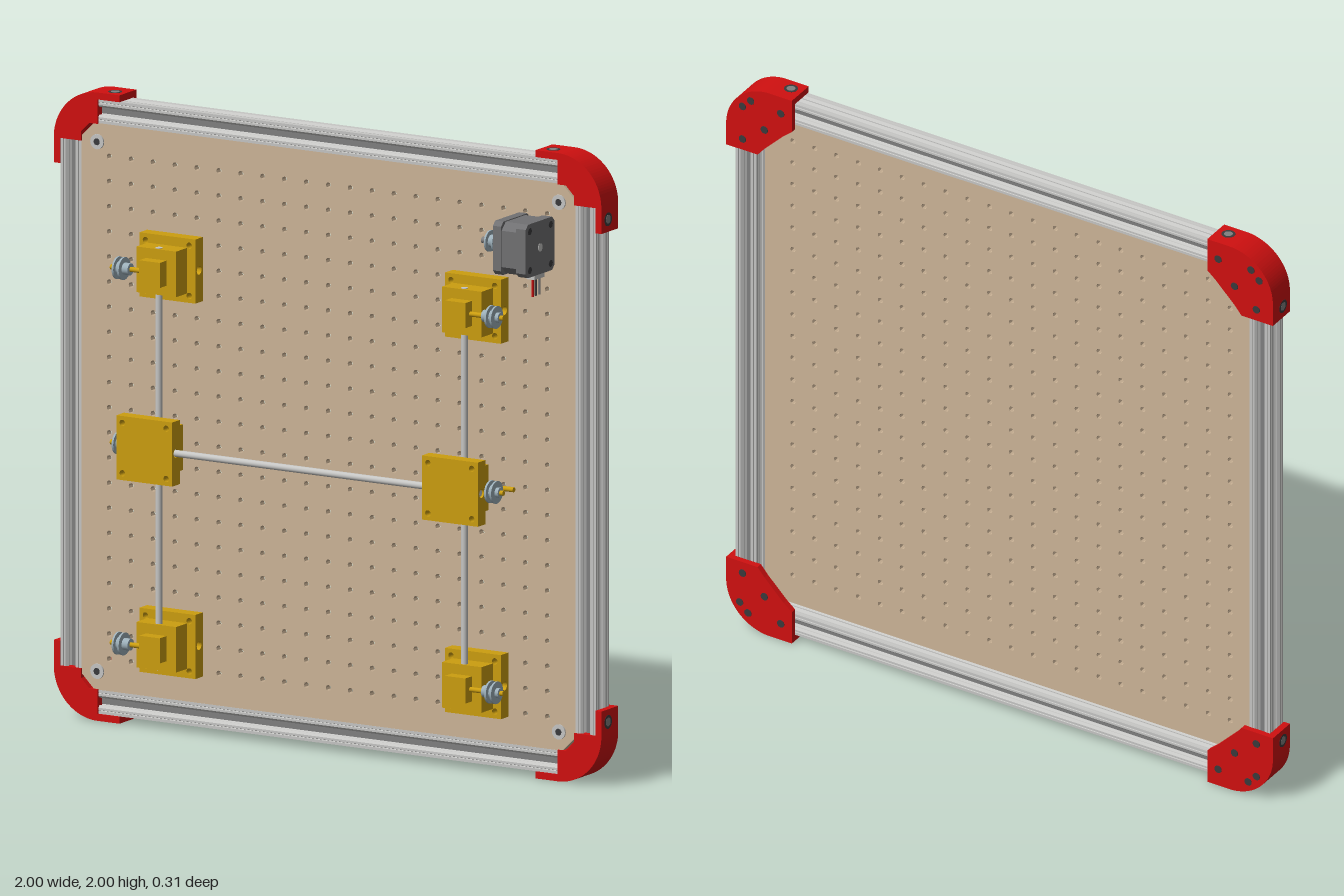
import * as THREE from 'three';

const mat = (name, color) => {
  const m = new THREE.MeshStandardMaterial({ color });
  m.name = name;
  return m;
};
const RED = mat('red plastic', 0xd01010);
const ALU = mat('aluminium', 0xc6c6c4);
const SLOT = mat('slot grey', 0x808080);
const WOOD = mat('tan board', 0xcdb598);
const GOLD = mat('gold plastic', 0xcc9e10);
const STEEL = mat('blue steel', 0x9db0ba);
const MOTOR = mat('motor grey', 0x717173);
const DARK = mat('dark grey', 0x3a3a3c);

function add(parent, name, geo, material, x = 0, y = 0, z = 0) {
  const m = new THREE.Mesh(geo, material);
  m.name = name;
  m.position.set(x, y, z);
  parent.add(m);
  return m;
}
const box = (w, h, d) => new THREE.BoxGeometry(w, h, d);
const extrude = (shape, depth, curveSegments = 10) =>
  new THREE.ExtrudeGeometry(shape, { depth, bevelEnabled: false, curveSegments });
const polygon = (pts) => new THREE.Shape(pts.map(([x, y]) => new THREE.Vector2(x, y)));
const rect = (w, h) => polygon([[-w / 2, -h / 2], [w / 2, -h / 2], [w / 2, h / 2], [-w / 2, h / 2]]);
function punch(shape, x, y, r) {
  const p = new THREE.Path();
  p.absarc(x, y, r, 0, Math.PI * 2, true);
  shape.holes.push(p);
}
// Cylinder along x, between x0 and x1
function rodX(parent, name, r, x0, x1, y, z, material) {
  const g = new THREE.CylinderGeometry(r, r, Math.abs(x1 - x0), 20).rotateZ(Math.PI / 2);
  return add(parent, name, g, material, (x0 + x1) / 2, y, z);
}

// Slotted rail profile: one side, turned four times
function railProfile() {
  const half = [[0.038, 0.038], [0.029, 0.038], [0.0275, 0.035], [0.026, 0.038], [0.019, 0.038],
    [0.012, 0.031], [0.012, 0.028], [0.022, 0.028], [0.018, 0.022], [0.01, 0.014]];
  const side = [...half, ...half.slice(1).reverse().map(([x, y]) => [-x, y])];
  const pts = [];
  for (let k = 0; k < 4; k++) {
    const c = Math.round(Math.cos(k * Math.PI / 2)), s = Math.round(Math.sin(k * Math.PI / 2));
    side.forEach(([x, y]) => pts.push([x * c - y * s, x * s + y * c]));
  }
  return polygon(pts);
}

// One rail and one corner bracket, for the top and its right end
function frameSide() {
  const g = new THREE.Group();
  g.name = 'frameSide';
  const L = 1.69, zc = -0.0925;
  add(g, 'rail', extrude(railProfile(), L).translate(0, 0, -L / 2).rotateY(Math.PI / 2), ALU, 0, 0.94, zc);
  add(g, 'railCore', box(L - 0.01, 0.021, 0.031), SLOT, 0, 0.94, zc);
  add(g, 'railCore', box(L - 0.01, 0.031, 0.021), SLOT, 0, 0.94, zc);

  // Solid corner block
  const block = new THREE.Shape();
  block.moveTo(0.84, 1);
  block.absarc(0.84, 0.84, 0.16, Math.PI / 2, 0, true);
  [[0.9, 0.84], [0.9, 0.87], [0.87, 0.9], [0.84, 0.9]].forEach(([x, y]) => block.lineTo(x, y));
  add(g, 'cornerBlock', extrude(block, 0.08, 14), RED, 0, 0, -0.13);
  // Back plate
  const plate = new THREE.Shape();
  plate.moveTo(0.76, 1);
  plate.lineTo(0.84, 1);
  plate.absarc(0.84, 0.84, 0.16, Math.PI / 2, 0, true);
  [[1, 0.76], [0.885, 0.76], [0.86, 0.79], [0.79, 0.86], [0.76, 0.885]].forEach(([x, y]) => plate.lineTo(x, y));
  add(g, 'cornerBackPlate', extrude(plate, 0.02, 14), RED, 0, 0, -0.15);
  // Outer lips wrapping the rails
  add(g, 'cornerLip', box(0.08, 0.022, 0.08), RED, 0.8, 0.989, -0.09);
  add(g, 'cornerLip', box(0.022, 0.08, 0.08), RED, 0.989, 0.8, -0.09);

  // Bolts on the back and outer faces
  for (const [x, y] of [[0.94, 0.8], [0.8, 0.94], [0.94, 0.92], [0.91, 0.95], [0.86, 0.86]]) {
    add(g, 'backBolt', new THREE.CylinderGeometry(0.013, 0.013, 0.004, 14).rotateX(Math.PI / 2), DARK, x, y, -0.15);
  }
  rodX(g, 'sideBoltRing', 0.022, 0.998, 1.0005, 0.8, -0.09, DARK);
  rodX(g, 'sideBolt', 0.014, 0.998, 1.001, 0.8, -0.09, SLOT);
  add(g, 'topBoltRing', new THREE.CylinderGeometry(0.022, 0.022, 0.0025, 20), DARK, 0.8, 0.9993, -0.09);
  add(g, 'topBolt', new THREE.CylinderGeometry(0.014, 0.014, 0.003, 20), SLOT, 0.8, 0.9995, -0.09);
  // Washer and screw holding the board
  add(g, 'boardWasher', new THREE.CylinderGeometry(0.024, 0.024, 0.006, 20).rotateX(Math.PI / 2), ALU, 0.843, 0.843, -0.053);
  add(g, 'boardScrew', new THREE.CylinderGeometry(0.011, 0.011, 0.008, 14).rotateX(Math.PI / 2), DARK, 0.843, 0.843, -0.053);
  return g;
}

// Perforated board with chamfered corners
function board() {
  const a = 0.902, c = 0.855;
  const s = polygon([[-c, -a], [c, -a], [a, -c], [a, c], [c, a], [-c, a], [-a, c], [-a, -c]]);
  for (let i = -10; i <= 10; i++) for (let j = -10; j <= 10; j++) punch(s, i * 0.08, j * 0.08, 0.0095);
  return extrude(s, 0.024, 4);
}

// Toothed pulley on a shaft along x; s is the outward direction
function pulley(parent, x, y, z, s) {
  const g = new THREE.Group();
  g.name = 'pulley';
  g.position.set(x, y, z);
  parent.add(g);
  rodX(g, 'shaft', 0.008, -0.05 * s, 0.072 * s, 0, 0, GOLD);
  rodX(g, 'hub', 0.019, 0, 0.022 * s, 0, 0, STEEL);
  rodX(g, 'flange', 0.036, 0.022 * s, 0.029 * s, 0, 0, STEEL);
  rodX(g, 'teeth', 0.022, 0.029 * s, 0.042 * s, 0, 0, STEEL);
  rodX(g, 'flange', 0.036, 0.042 * s, 0.048 * s, 0, 0, STEEL);
  rodX(g, 'tip', 0.016, 0.048 * s, 0.06 * s, 0, 0, STEEL);
}

// Stepped bearing block; flipped it becomes a carriage
function bearingBlock(name, x, y, flip) {
  const g = new THREE.Group();
  g.name = name;
  g.position.set(x, y, 0.04);
  if (flip) g.rotation.y = Math.PI;
  // Base: middle strip with a cross hole, outer strips with screw holes
  const mid = rect(0.045, 0.05);
  punch(mid, 0, 0, 0.014);
  add(g, 'baseMiddle', extrude(mid, 0.204).translate(0, 0, -0.102).rotateY(Math.PI / 2), GOLD, 0, 0, -0.0685);
  for (const s of [-1, 1]) {
    const strip = rect(0.204, 0.077);
    for (const t of [-1, 1]) punch(strip, t * 0.08, s * 0.0165, 0.01);
    add(g, 'baseStrip', extrude(strip, 0.045), GOLD, 0, s * 0.0635, -0.091);
  }
  add(g, 'middleStep', box(0.145, 0.145, 0.066), GOLD, 0, 0, -0.013);
  add(g, 'smallStep', box(0.075, 0.08, 0.04), GOLD, 0, 0, 0.04);
  return g;
}

function motor() {
  const g = new THREE.Group();
  g.name = 'motor';
  g.position.set(0.79, 1.723, 0.07);
  const section = (h, c) => polygon([[-h + c, -h], [h - c, -h], [h, -h + c], [h, h - c],
    [h - c, h], [-h + c, h], [-h, h - c], [-h, -h + c]]);
  const part = (name, h, c, x0, len) =>
    add(g, name, extrude(section(h, c), len).rotateY(Math.PI / 2), MOTOR, x0, 0, 0);
  part('motorFrontCap', 0.085, 0.014, -0.06, 0.03);
  part('motorBody', 0.082, 0.024, -0.03, 0.055);
  part('motorRearCap', 0.085, 0.014, 0.025, 0.035);
  for (const s of [-1, 1]) for (const t of [-1, 1]) {
    rodX(g, 'motorScrew', 0.011, 0.059, 0.0615, s * 0.062, t * 0.062, DARK);
    rodX(g, 'motorScrew', 0.011, -0.0615, -0.059, s * 0.062, t * 0.062, DARK);
  }
  rodX(g, 'rearBearing', 0.013, 0.059, 0.0615, 0, 0, ALU);
  rodX(g, 'frontBoss', 0.045, -0.066, -0.06, 0, 0, MOTOR);
  // Drive shaft and pulley
  rodX(g, 'motorShaft', 0.01, -0.15, -0.06, 0, 0, SLOT);
  rodX(g, 'pulleyHub', 0.03, -0.088, -0.066, 0, 0, STEEL);
  rodX(g, 'pulleyTeeth', 0.02, -0.128, -0.088, 0, 0, STEEL);
  rodX(g, 'pulleyFlange', 0.034, -0.1, -0.094, 0, 0, STEEL);
  rodX(g, 'pulleyFlange', 0.034, -0.125, -0.119, 0, 0, STEEL);
  // Connector and wires
  add(g, 'connector', box(0.03, 0.02, 0.06), ALU, 0.043, -0.089, 0);
  [[0.02, RED], [0, DARK], [-0.02, SLOT]].forEach(([z, m]) =>
    add(g, 'wire', new THREE.CylinderGeometry(0.004, 0.004, 0.07, 8), m, 0.045, -0.12, z));
  return g;
}

export function createModel() {
  const model = new THREE.Group();
  model.name = 'beltDrivenGantryBoard';

  // Square frame
  const frame = new THREE.Group();
  frame.name = 'frame';
  frame.position.y = 1;
  for (let k = 0; k < 4; k++) {
    const side = frameSide();
    side.rotation.z = k * Math.PI / 2;
    frame.add(side);
  }
  add(frame, 'perforatedBoard', board(), WOOD, 0, 0, -0.079);
  model.add(frame);

  // Bearing blocks, guide rods and carriages on both sides
  const yMid = 0.925;
  for (const s of [-1, 1]) {
    const x = s * 0.558;
    for (const y of [0.287, 1.482]) {
      model.add(bearingBlock('bearingBlock', x, y, false));
      pulley(model, s * 0.645, y, 0.07, s);
    }
    model.add(bearingBlock('carriage', x, yMid, true));
    pulley(model, s * 0.645, yMid, 0.07, s);
    rodX(model, 'carriagePin', 0.008, s * 0.55, s * 0.718, yMid, 0.01, GOLD);
    add(model, 'verticalRod', new THREE.CylinderGeometry(0.011, 0.011, 1.344, 20), ALU, x, 0.8845, 0.043);
  }
  rodX(model, 'crossRod', 0.011, -0.655, 0.655, yMid, 0.1085, ALU);

  model.add(motor());
  return model;
}
